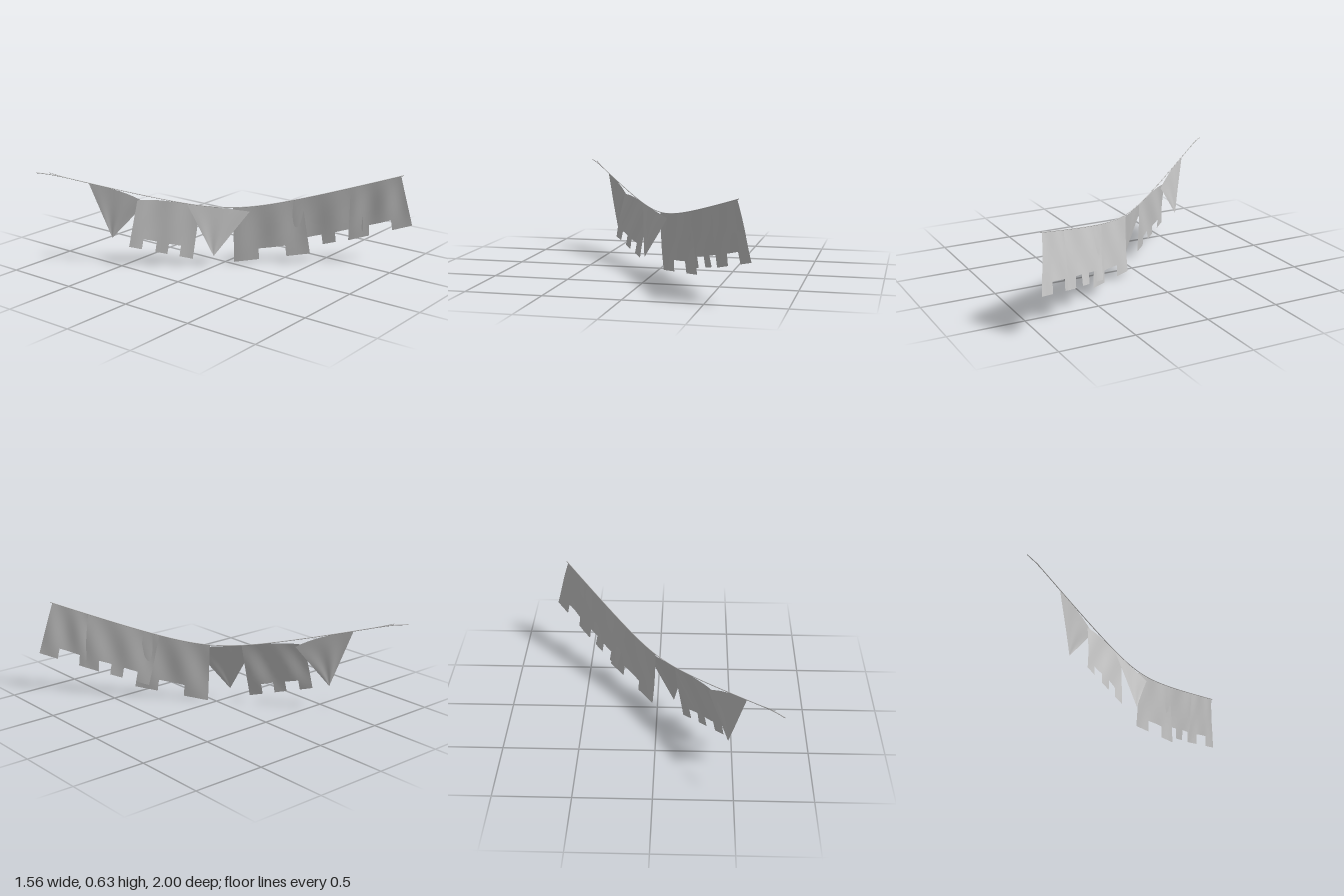
import * as THREE from 'three';

const V = (x, y, z) => new THREE.Vector3(x, y, z);
const material = new THREE.MeshStandardMaterial({ color: 0xcccccc, side: THREE.DoubleSide });

// Sagging line on which everything hangs, running diagonally across the floor plan
function ropeAt(x) {
  const slope = x < 0 ? 0.42 : 0.44;
  return V(x, 0.305 + Math.hypot(0.09, slope * x), 0.04 + 1.33 * x);
}

function rope(name, points, radius) {
  const curve = new THREE.CatmullRomCurve3(points);
  const mesh = new THREE.Mesh(new THREE.TubeGeometry(curve, 60, radius, 6), material);
  mesh.name = name;
  return mesh;
}

// Cloth sheet between the rope (x0..x1) and a lower edge (left..right).
// gaps: pairs of u values cut out of the hem; drop: sag of the two upper corners.
function flag({ name, x0, x1, left, right, gaps = [], drop = [0, 0], ripple = 0.006 }) {
  const cuts = [0, ...gaps.flat(), 1];
  const us = [0], inGap = [];
  for (let i = 1; i < cuts.length; i++) {
    const n = Math.max(3, Math.round((cuts[i] - cuts[i - 1]) * 16));
    for (let k = 1; k <= n; k++) {
      us.push(cuts[i - 1] + (cuts[i] - cuts[i - 1]) * k / n);
      inGap.push(i % 2 === 0);
    }
  }
  const vs = [0, 0.1, 0.2, 0.3, 0.4, 0.5, 0.6, 0.7, 0.8, 0.9, 1];
  const hemRow = 8;
  const positions = [], indices = [];
  for (const v of vs) {
    for (const u of us) {
      const top = ropeAt(x0 + (x1 - x0) * u);
      top.y -= drop[0] * (1 - u) ** 3 + drop[1] * u ** 3;
      const p = top.lerp(left.clone().lerp(right, u), v);
      // soft folds across the cloth, fading towards rope and hem
      const fold = ripple * Math.sin(u * 11 + v * 2) * Math.sin(Math.PI * v);
      positions.push(p.x - 0.8 * fold, p.y, p.z + 0.6 * fold);
    }
  }
  const w = us.length;
  for (let j = 0; j < vs.length - 1; j++) {
    for (let i = 0; i < w - 1; i++) {
      if (inGap[i] && j >= hemRow) continue;
      const a = j * w + i, b = a + w;
      indices.push(a, b, a + 1, a + 1, b, b + 1);
    }
  }
  const geometry = new THREE.BufferGeometry();
  geometry.setAttribute('position', new THREE.Float32BufferAttribute(positions, 3));
  geometry.setIndex(indices);
  geometry.computeVertexNormals();
  const mesh = new THREE.Mesh(geometry, material);
  mesh.name = name;
  return mesh;
}

export function createModel() {
  const group = new THREE.Group();
  group.name = 'bunting';

  // Main rope and the loose end of its knot
  const points = [V(-0.78, 0.63, -1), V(-0.73, 0.62, -0.93)];
  for (let i = 0; i <= 24; i++) points.push(ropeAt(-0.67 + 1.365 * i / 24));
  group.add(rope('rope', points, 0.003));
  group.add(rope('ropeLooseEnd', [V(-0.725, 0.63, -0.93), V(-0.68, 0.607, -0.865), ropeAt(-0.62)], 0.002));

  const threeTeeth = [[0.2, 0.41], [0.6, 0.79]];
  const twoTeeth = [[0.33, 0.69]];
  const tip1 = V(-0.47, 0.17, -0.61), tip2 = V(-0.115, 0.07, -0.01);

  const flags = [
    // Pointed pennants
    { name: 'outerPennant', x0: -0.57, x1: -0.34, left: tip1, right: tip1, drop: [0, 0.05], ripple: 0.002 },
    { name: 'middlePennant', x0: -0.175, x1: 0.08, left: tip2, right: tip2, drop: [0, 0.035], ripple: 0.002 },
    // Square banners with notched hems
    { name: 'rightNarrowToothBanner', x0: -0.375, x1: -0.12, gaps: threeTeeth, drop: [0.045, 0],
      left: V(-0.445, 0.125, -0.48), right: V(-0.18, 0.04, -0.14) },
    { name: 'centreWideToothBanner', x0: 0.012, x1: 0.29, gaps: twoTeeth,
      left: V(0.035, 0, 0.05), right: V(0.35, 0.062, 0.46) },
    { name: 'leftNarrowToothBanner', x0: 0.225, x1: 0.53, gaps: threeTeeth,
      left: V(0.3, 0.085, 0.367), right: V(0.58, 0.18, 0.74) },
    { name: 'leftWideToothBanner', x0: 0.485, x1: 0.685, gaps: twoTeeth,
      left: V(0.515, 0.155, 0.66), right: V(0.78, 0.26, 1) },
  ];
  for (const f of flags) group.add(flag(f));
  return group;
}
